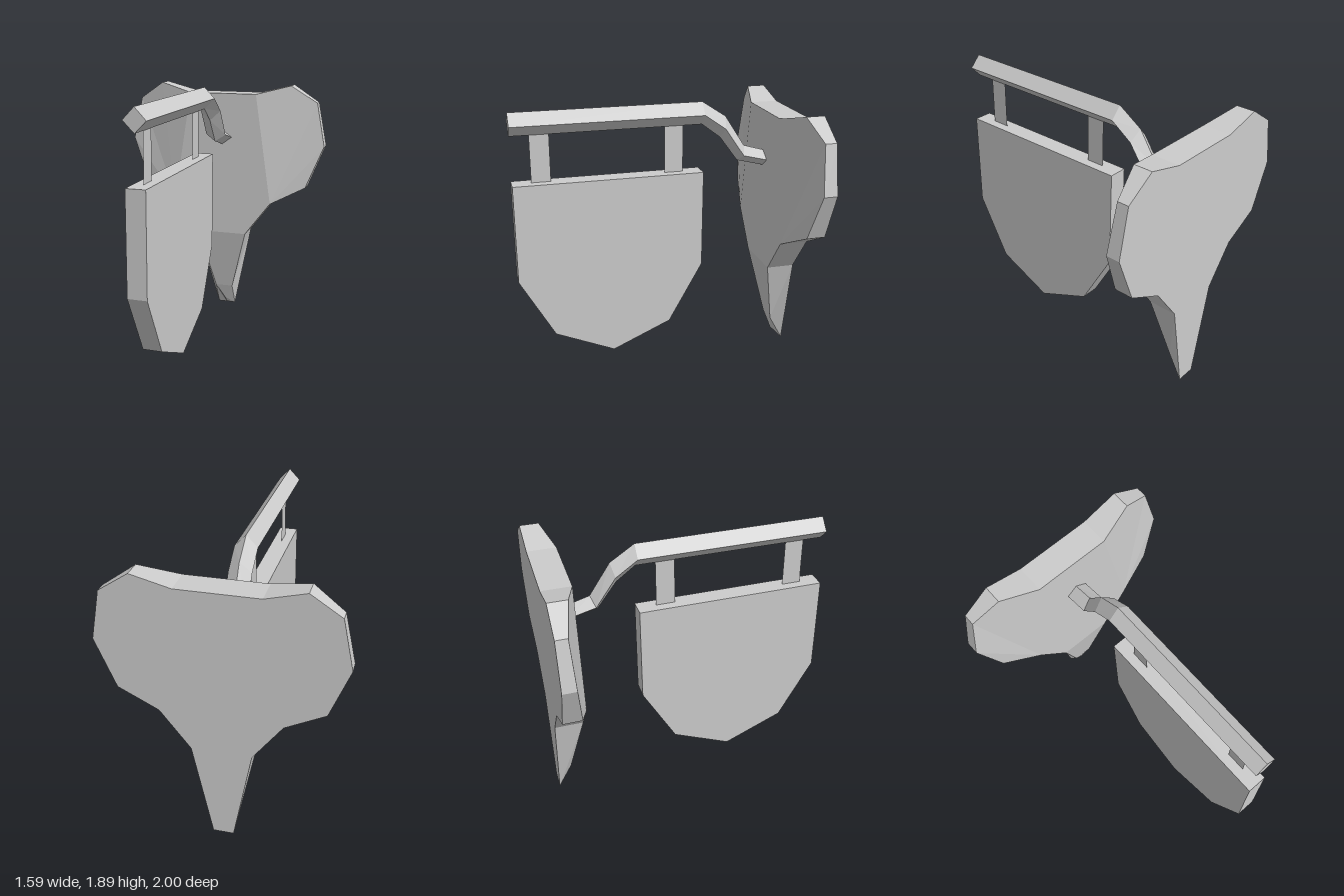
import * as THREE from 'three';

const material = new THREE.MeshStandardMaterial({ color: 0xcccccc, flatShading: true, side: THREE.DoubleSide });

// Mesh from convex faces, each a list of corners in counter-clockwise order
function facetMesh(name, faces) {
  const pos = [];
  for (const f of faces)
    for (let i = 1; i < f.length - 1; i++) pos.push(...f[0], ...f[i], ...f[i + 1]);
  const g = new THREE.BufferGeometry();
  g.setAttribute('position', new THREE.Float32BufferAttribute(pos, 3));
  g.computeVertexNormals();
  const mesh = new THREE.Mesh(g, material);
  mesh.name = name;
  return mesh;
}

// Side faces between a front ring and a back ring
const bridge = (front, back) => front.map((p, i) => {
  const j = (i + 1) % front.length;
  return [p, back[i], back[j], front[j]];
});

// Wall plaque: flat back, front sloping away towards the lobes and the tip
function wallPlaque() {
  const half = [
    [0.07, 0.18, -0.9], [0.2, 0.67, -0.8], [0.4, 0.935, -0.8], [0.665, 1.07, -0.87],
    [0.797, 1.4, -0.905], [0.73, 1.735, -0.92], [0.53, 1.867, -0.87], [0.268, 1.8, -0.8],
  ];
  const mirrored = half.map(([x, y, z]) => [-x, y, z]).reverse();
  const front = [[0, 0.06, -0.935], ...half, ...mirrored];
  const back = front.map(([x, y]) => [x, y < 0.2 ? 0 : y, -1]);

  const index = [[0, 1, 16], [1, 2, 15, 16], [2, 3, 14, 15], [3, 8, 9, 14]];
  for (let i = 4; i < 8; i++) index.push([3, i, i + 1], [14, 16 - i, 17 - i]);
  const faces = index.map(f => f.map(i => front[i]));
  faces.push(...bridge(front, back));

  const outline = back.map(([x, y]) => new THREE.Vector2(x, y));
  for (const [a, b, c] of THREE.ShapeUtils.triangulateShape(outline, []))
    faces.push([back[a], back[c], back[b]]);
  return facetMesh('wallPlaque', faces);
}

// Bracket arm: diamond section swept along a bent path
function bracketArm() {
  // z and y of the top ridge, the side edges and the bottom ridge
  const sections = [
    [[1, 1.887], [1, 1.806], [1, 1.728]],
    [[-0.335, 1.887], [-0.335, 1.806], [-0.335, 1.728]],
    [[-0.507, 1.775], [-0.487, 1.7], [-0.47, 1.627]],
    [[-0.652, 1.555], [-0.627, 1.5], [-0.603, 1.45]],
    [[-0.8, 1.513], [-0.8, 1.457], [-0.8, 1.4]],
  ];
  const w = 0.077;
  const rings = sections.map(([t, m, b]) => [
    [0, t[1], t[0]], [-w, m[1], m[0]], [0, b[1], b[0]], [w, m[1], m[0]],
  ]);
  const faces = [rings[0], [...rings.at(-1)].reverse()];
  for (let i = 0; i < rings.length - 1; i++) faces.push(...bridge(rings[i], rings[i + 1]));
  return facetMesh('bracketArm', faces);
}

// Hanging shield-shaped board
function signBoard() {
  const outline = [[1, 1.398], [1, 0.7], [0.757, 0.265], [0.333, 0.08], [-0.09, 0.265], [-0.333, 0.7], [-0.333, 1.398]];
  const shape = new THREE.Shape(outline.map(([z, y]) => new THREE.Vector2(z, y)));
  const depth = 0.134;
  const g = new THREE.ExtrudeGeometry(shape, { depth, bevelEnabled: false });
  g.translate(0, 0, -depth / 2).rotateY(-Math.PI / 2);
  const mesh = new THREE.Mesh(g, material);
  mesh.name = 'signBoard';
  return mesh;
}

// Flat strap between arm and board
function hangerStrap(z) {
  const g = new THREE.PlaneGeometry(0.134, 0.34).rotateY(Math.PI / 2);
  const mesh = new THREE.Mesh(g, material);
  mesh.position.set(0, 1.568, z);
  mesh.name = 'hangerStrap';
  return mesh;
}

export function createModel() {
  const model = new THREE.Group();
  model.name = 'hangingSign';
  model.add(wallPlaque(), bracketArm(), signBoard());
  for (const z of [0.8, -0.132]) model.add(hangerStrap(z));
  return model;
}
